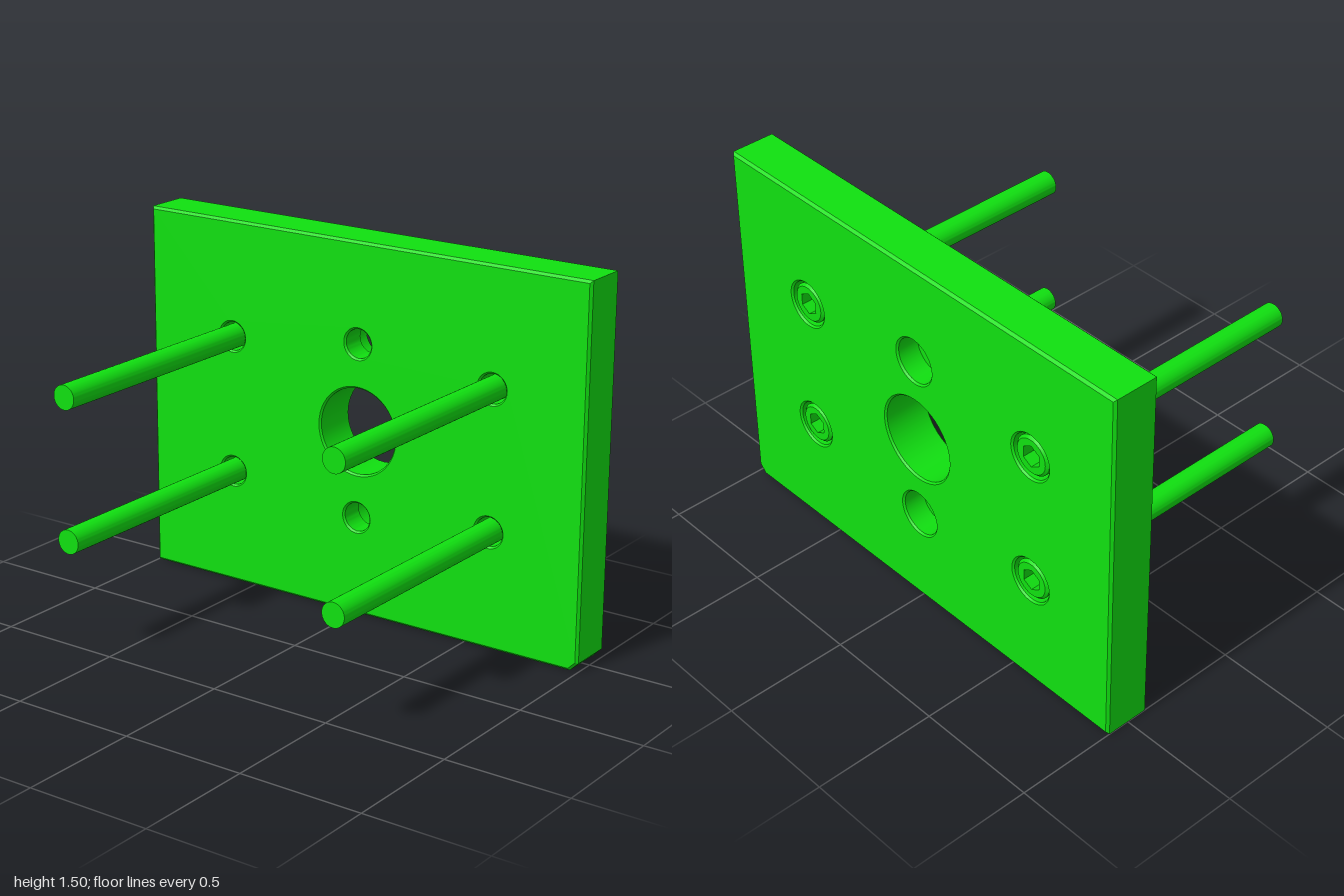
import * as THREE from 'three';
import { toCreasedNormals } from 'three/addons/utils/BufferGeometryUtils.js';

const FRONT = -0.405, BACK = -0.6, STEP = -0.505; // plate faces and counterbore floor
const C = 0.01;                                   // edge chamfer
const MID = 0.75;                                 // height of the plate centre
const screws = [[-0.6, 0.47], [0.6, 0.47], [-0.6, 1.03], [0.6, 1.03]];
const stepped = [[0, 0.4], [0, 1.1], ...screws];

export function createModel() {
  const model = new THREE.Group();
  const material = new THREE.MeshStandardMaterial({ color: 0x10e010 });
  const add = (parent, name, geometry, x = 0, y = 0) => {
    const mesh = new THREE.Mesh(geometry, material);
    mesh.name = name;
    mesh.position.set(x, y, 0);
    parent.add(mesh);
  };

  // Regular polygon of points, starting at the bottom
  const ring = (x, y, r, n = 48) => Array.from({ length: n }, (_, i) => {
    const a = i / n * Math.PI * 2;
    return new THREE.Vector2(x + r * Math.sin(a), y - r * Math.cos(a));
  });

  // Turned surface along z: rising z faces outward, falling z faces inward
  const turned = (profile, n = 48) => toCreasedNormals(
    new THREE.LatheGeometry(profile.map(p => new THREE.Vector2(...p)), n).rotateX(Math.PI / 2),
    n > 6 ? 0.5 : 0.1);

  // Flat face with round or hexagonal holes
  const face = (points, holes) => {
    const shape = new THREE.Shape(points);
    shape.holes = holes.map(h => new THREE.Path().setFromPoints(h));
    return new THREE.ShapeGeometry(shape);
  };

  // Plate outline with one clipped lower corner, inset for the chamfers
  const outline = d => {
    const k = 0.035 - 0.586 * d, w = 1 - d;
    return [[-w, d], [w - k, d], [w, d + k], [w, 1.5 - d], [-w, 1.5 - d]]
      .map(p => new THREE.Vector2(...p));
  };

  // Plate faces
  const plate = new THREE.Group();
  plate.name = 'plate';
  model.add(plate);
  add(plate, 'plateFront', face(outline(C),
    [ring(0, MID, 0.18), ...stepped.map(([x, y]) => ring(x, y, 0.065))]).translate(0, 0, FRONT));
  const mirrored = outline(C).map(p => new THREE.Vector2(-p.x, p.y)).reverse();
  add(plate, 'plateBack', face(mirrored,
    [ring(0, MID, 0.18), ...stepped.map(([x, y]) => ring(x, y, 0.097))])
    .rotateY(Math.PI).translate(0, 0, BACK));

  // Plate rim: chamfer, side, chamfer
  const loops = [[C, BACK], [0, BACK + C], [0, FRONT - C], [C, FRONT]]
    .map(([d, z]) => outline(d).map(p => [p.x, p.y, z]));
  const rim = [];
  for (let j = 0; j < 3; j++) {
    for (let i = 0; i < 5; i++) {
      const n = (i + 1) % 5;
      const a = loops[j][i], b = loops[j][n], c = loops[j + 1][n], d = loops[j + 1][i];
      rim.push(...a, ...b, ...c, ...a, ...c, ...d);
    }
  }
  const rimGeometry = new THREE.BufferGeometry();
  rimGeometry.setAttribute('position', new THREE.Float32BufferAttribute(rim, 3));
  rimGeometry.computeVertexNormals();
  add(plate, 'plateRim', rimGeometry);

  // Central through hole
  add(plate, 'centreBore', turned([[0.18, FRONT], [0.173, FRONT - 0.007],
    [0.173, BACK + 0.007], [0.18, BACK]]), 0, MID);

  // Holes counterbored from the back
  const steppedBore = turned([[0.065, FRONT], [0.058, FRONT - 0.007], [0.058, STEP],
    [0.09, STEP], [0.09, BACK + 0.007], [0.097, BACK]]);
  stepped.forEach(([x, y]) => add(plate, 'counterboredHole', steppedBore, x, y));

  // Socket head screws reaching forward
  const top = BACK + 0.005;
  const body = turned([[0.07, top], [0.08, top + 0.01], [0.08, STEP], [0.048, STEP],
    [0.048, 0.6], [0, 0.6]]);
  const headFace = face(ring(0, 0, 0.07), [ring(0, 0, 0.045, 6)])
    .rotateY(Math.PI).translate(0, 0, top);
  const socket = turned([[0, top + 0.05], [0.045, top + 0.05], [0.045, top]], 6);
  for (const [x, y] of screws) {
    const screw = new THREE.Group();
    screw.name = 'screw';
    screw.position.set(x, y, 0);
    add(screw, 'screwBody', body);
    add(screw, 'screwHeadFace', headFace);
    add(screw, 'hexSocket', socket);
    model.add(screw);
  }
  return model;
}
